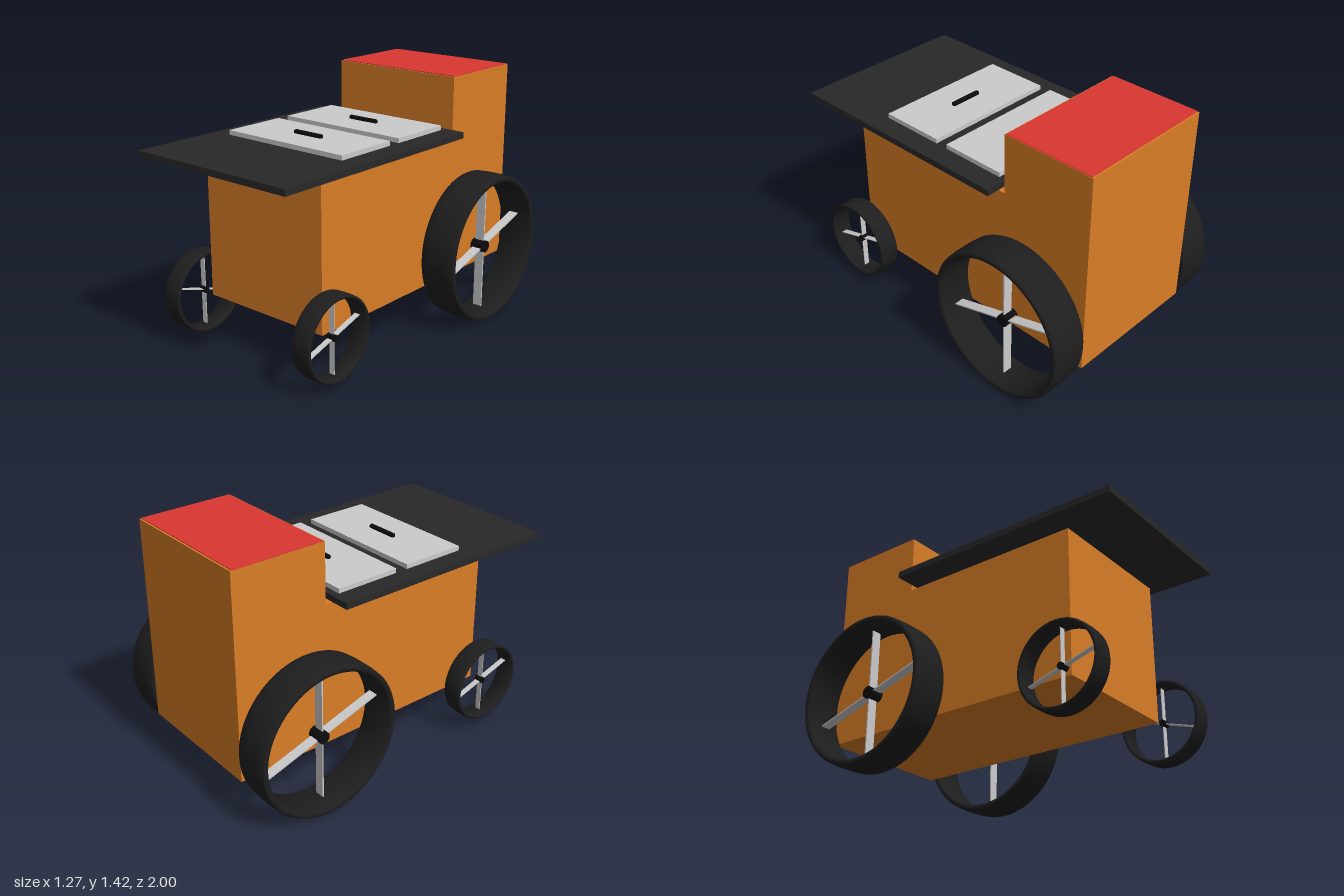
import * as THREE from 'three';
import { toCreasedNormals } from 'three/addons/utils/BufferGeometryUtils.js';
import { RoundedBoxGeometry } from 'three/addons/geometries/RoundedBoxGeometry.js';

const mat = (color) => new THREE.MeshStandardMaterial({ color });
const ORANGE = mat(0xd97d26), RED = mat(0xda3632), STEEL = mat(0xc4c4c4);
const COUNTER = mat(0x282828), RUBBER = mat(0x1e1e1e), BLACK = mat(0x0c0c0c);

function add(parent, name, geometry, material, x = 0, y = 0, z = 0) {
  const mesh = new THREE.Mesh(geometry, material);
  mesh.name = name;
  mesh.position.set(x, y, z);
  parent.add(mesh);
  return mesh;
}

// Box given by its limits on each axis
function boxBetween(parent, name, material, [x0, x1], [y0, y1], [z0, z1]) {
  return add(parent, name, new THREE.BoxGeometry(x1 - x0, y1 - y0, z1 - z0), material,
    (x0 + x1) / 2, (y0 + y1) / 2, (z0 + z1) / 2);
}

// Wide hollow wheel turning on the x axis
function makeWheel(name, radius, width, spokeWidth) {
  const wheel = new THREE.Group();
  wheel.name = name;
  const h = width / 2, inner = radius * 0.91, mid = radius * 0.955;
  const profile = [
    [mid, -h], [radius * 0.978, -h * 0.985], [radius * 0.99, -h * 0.9], [radius, -h * 0.4],
    [radius, h * 0.4], [radius * 0.99, h * 0.9], [radius * 0.978, h * 0.985], [mid, h],
    [inner * 1.02, h * 0.985], [inner, h * 0.9], [inner, -h * 0.9], [inner * 1.02, -h * 0.985], [mid, -h],
  ].map(([r, y]) => new THREE.Vector2(r, y));
  const tyre = toCreasedNormals(new THREE.LatheGeometry(profile, 72), 0.9);
  add(wheel, 'tyre', tyre, RUBBER).rotation.z = -Math.PI / 2;

  const hub = toCreasedNormals(new THREE.CylinderGeometry(radius * 0.08, radius * 0.08, spokeWidth * 1.5, 24), 0.6);
  add(wheel, 'hub', hub, BLACK).rotation.z = -Math.PI / 2;

  // One upright slat and one leaning slat
  for (const angle of [0, -73]) {
    const slat = new THREE.BoxGeometry(spokeWidth, radius * 1.75, radius * 0.018);
    add(wheel, 'spoke', slat, STEEL).rotation.x = THREE.MathUtils.degToRad(angle);
  }
  return wheel;
}

export function createModel() {
  const cart = new THREE.Group();
  cart.name = 'foodCart';

  // L-shaped body, drawn in side profile (z, y) and extruded across x
  const side = new THREE.Shape([
    [0.66, 0.26], [0.66, 1.08], [-0.43, 1.08], [-0.43, 1.42], [-0.975, 1.42], [-0.975, 0.26],
  ].map(([z, y]) => new THREE.Vector2(-z, y)));
  const body = new THREE.ExtrudeGeometry(side, { depth: 0.815, bevelEnabled: false });
  body.rotateY(Math.PI / 2);
  add(cart, 'body', body, ORANGE, -0.411);
  boxBetween(cart, 'redTop', RED, [-0.409, 0.401], [1.415, 1.424], [-0.965, -0.438]);

  // Counter with two lids
  boxBetween(cart, 'counter', COUNTER, [-0.545, 0.495], [1.095, 1.13], [-0.405, 1.0]);
  for (const z of [-0.175, 0.28]) {
    boxBetween(cart, 'lid', STEEL, [-0.436, 0.372], [1.128, 1.156], [z - 0.19, z + 0.19]);
    add(cart, 'lidHandle', new RoundedBoxGeometry(0.196, 0.024, 0.026, 3, 0.009), BLACK, -0.028, 1.164, z);
  }

  // Wheels: the pair on the far side is turned half round
  const axles = [
    { name: 'rearWheel', radius: 0.428, width: 0.217, spoke: 0.055, y: 0.432, z: -0.57, xs: [0.525, -0.529] },
    { name: 'frontWheel', radius: 0.234, width: 0.118, spoke: 0.032, y: 0.274, z: 0.66, xs: [0.469, -0.485] },
  ];
  for (const a of axles) {
    a.xs.forEach((x, i) => {
      const wheel = makeWheel(a.name + (i ? 'Right' : 'Left'), a.radius, a.width, a.spoke);
      wheel.position.set(x, a.y, a.z);
      wheel.rotation.y = i * Math.PI;
      cart.add(wheel);
    });
  }
  return cart;
}
